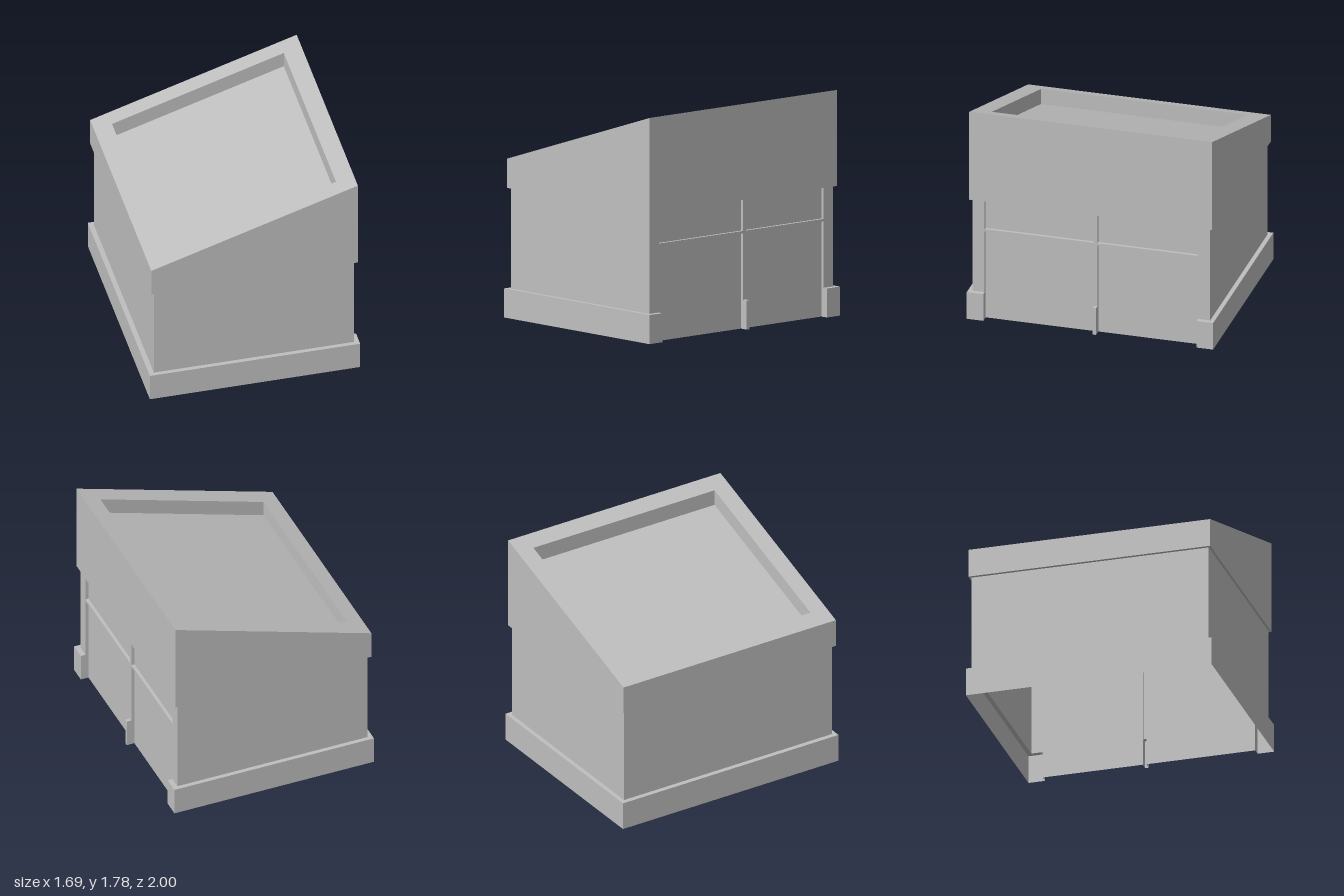
import * as THREE from 'three';

// Plan outline with two shallow bays on the +x side, split by a central post
function outline(x, z) {
  const inner = 0.78, jamb = 0.865, postA = -0.05, postB = -0.02;
  return [
    [inner, jamb], [x, jamb], [x, z], [-x, z], [-x, -z], [x, -z], [x, -jamb], [inner, -jamb],
    [inner, postA], [x, postA], [x, postB], [inner, postB],
  ];
}

// Push outline points onto a plain rectangle, keeping their order
function onRectangle(points, x, z) {
  return points.map(([px, pz]) => [
    Math.sign(px) * x,
    Math.abs(pz) > 0.9 ? Math.sign(pz) * z : THREE.MathUtils.clamp(pz, -z, z),
  ]);
}

const atHeight = (points, y) => points.map(([x, z]) => [x, y, z]);
const onSlope = (points, drop) => points.map(([x, z]) => [x, 1.52 + 0.319 * x - drop, z]);

// Flat-faced surface joining a stack of matching rings
function loft(rings) {
  const pos = [];
  for (let r = 0; r < rings.length - 1; r++) {
    const low = rings[r], high = rings[r + 1];
    for (let i = 0; i < low.length; i++) {
      const j = (i + 1) % low.length;
      for (const p of [low[i], high[i], high[j], low[i], high[j], low[j]]) pos.push(...p);
    }
  }
  return surface(pos);
}

function surface(pos) {
  const geo = new THREE.BufferGeometry();
  geo.setAttribute('position', new THREE.Float32BufferAttribute(pos, 3));
  geo.computeVertexNormals();
  return geo;
}

export function createModel() {
  const group = new THREE.Group();
  const grey = new THREE.MeshStandardMaterial({ color: 0xbfbfbf, side: THREE.DoubleSide });
  grey.name = 'plain grey';
  const add = (name, geo) => {
    const mesh = new THREE.Mesh(geo, grey);
    mesh.name = name;
    group.add(mesh);
    return mesh;
  };

  const base = outline(0.845, 1);
  const wall = outline(0.805, 0.965);
  const band = onRectangle(wall, 0.83, 0.985);
  const well = onRectangle(wall, 0.69, 0.84);

  // Open-bottomed shell, from the ground up
  add('plinth', loft([atHeight(base, 0), atHeight(base, 0.23), atHeight(wall, 0.23)]));
  add('walls', loft([atHeight(wall, 0.23), atHeight(wall, 1.025)]));
  add('parapet', loft([atHeight(wall, 1.025), atHeight(band, 1.025), onSlope(band, 0)]));
  add('roofRim', loft([onSlope(band, 0), onSlope(well, 0), onSlope(well, 0.13)]));

  // Sloping roof floor inside the rim
  const [a, b, c, d] = onSlope([[-0.69, -0.84], [-0.69, 0.84], [0.69, 0.84], [0.69, -0.84]], 0.13);
  add('roof', surface([a, b, c, a, c, d].flat()));

  // Horizontal transom across each bay
  for (const [z0, z1] of [[-0.865, -0.05], [-0.02, 0.865]]) {
    const bar = add('transom', new THREE.BoxGeometry(0.025, 0.02, z1 - z0));
    bar.position.set(0.7925, 0.765, (z0 + z1) / 2);
  }
  return group;
}
